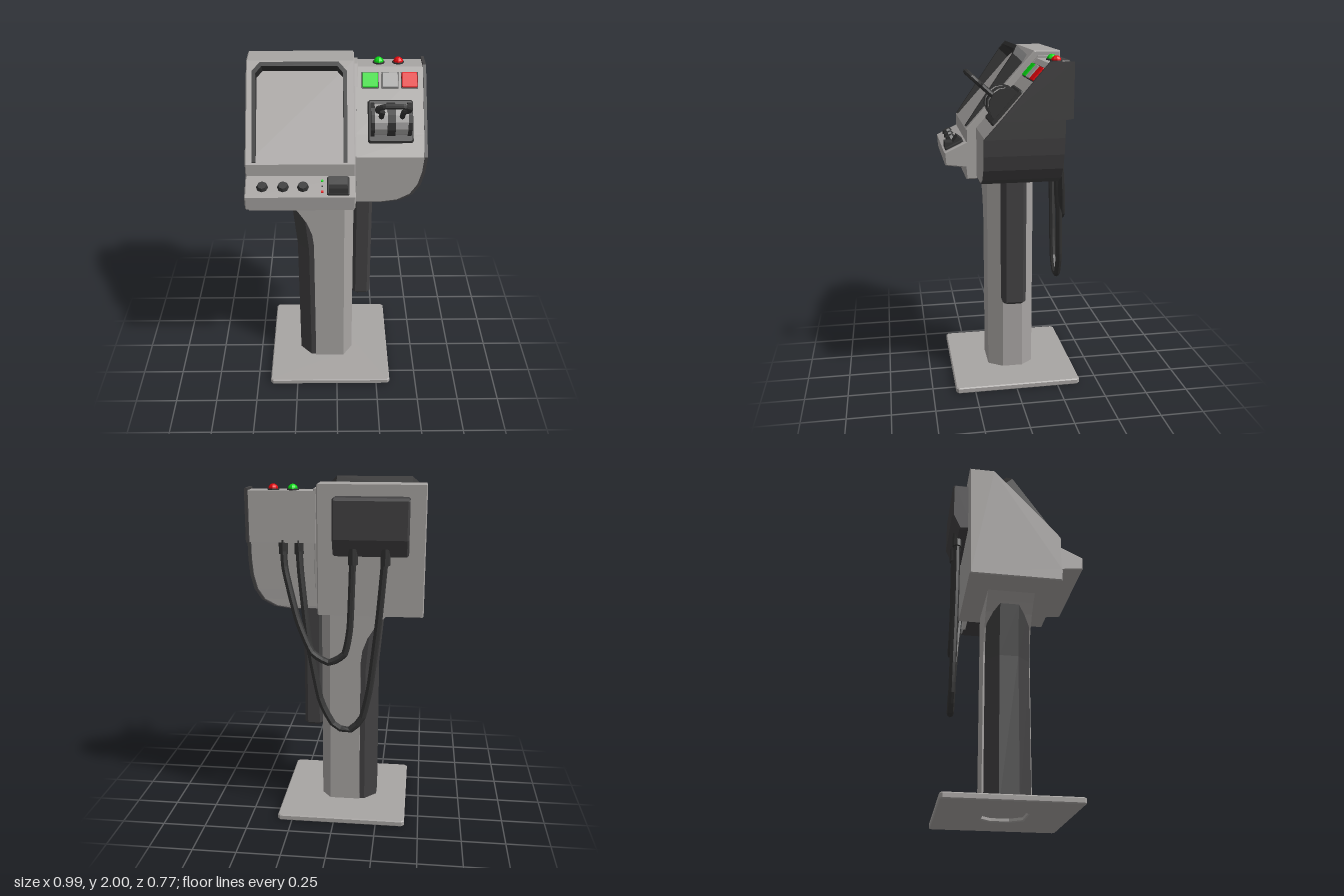
import * as THREE from 'three';

const mat = (name, color) => {
  const m = new THREE.MeshStandardMaterial({ color });
  m.name = name;
  return m;
};

// Extrude a (z, y) profile across x from x0 to x1, with a small bevel
function across(profile, x0, x1, b = 0.006) {
  const s = new THREE.Shape(profile.map(p => new THREE.Vector2(...p)));
  const g = new THREE.ExtrudeGeometry(s, {
    depth: x1 - x0 - 2 * b, bevelEnabled: true, bevelThickness: b, bevelSize: b, bevelOffset: -b, bevelSegments: 1
  });
  return g.rotateY(-Math.PI / 2).translate(x1 - b, 0, 0);
}

// Skin stacked convex rings. ring = { y, pts: [[x, z], ...] }, ordered front-left, front-right, back...
// sideMats gives a material index per ring edge, the ends use index 0.
function loft(rings, sideMats = []) {
  const g = new THREE.BufferGeometry(), pos = [], n = rings[0].pts.length;
  const v = (r, i) => [r.pts[i % n][0], r.y, r.pts[i % n][1]];
  const group = (m, fn) => {
    const start = pos.length / 3;
    fn();
    g.addGroup(start, pos.length / 3 - start, m);
  };
  for (let i = 0; i < n; i++) group(sideMats[i] ?? 0, () => {
    for (let k = 0; k < rings.length - 1; k++) {
      const a = v(rings[k], i), b = v(rings[k], i + 1), c = v(rings[k + 1], i + 1), d = v(rings[k + 1], i);
      pos.push(...a, ...b, ...c, ...a, ...c, ...d);
    }
  });
  group(0, () => {
    const lo = rings[0], hi = rings[rings.length - 1];
    for (let i = 1; i < n - 1; i++) {
      pos.push(...v(lo, 0), ...v(lo, i + 1), ...v(lo, i), ...v(hi, 0), ...v(hi, i), ...v(hi, i + 1));
    }
  });
  g.setAttribute('position', new THREE.Float32BufferAttribute(pos, 3));
  return g;
}

// Faceted tube through a list of points
function tube(points, r, steps, tension = 0.25) {
  const c = new THREE.CatmullRomCurve3(points.map(p => new THREE.Vector3(...p)), false, 'catmullrom', tension);
  return new THREE.TubeGeometry(c, steps, r, 8, false);
}

// Box with chamfered outline and edges, standing on local z = 0
function pad(w, h, d, b = 0.008) {
  const x = w / 2, y = h / 2, c = b * 1.2;
  const s = new THREE.Shape([[-x + c, -y], [x - c, -y], [x, -y + c], [x, y - c], [x - c, y], [-x + c, y], [-x, y - c], [-x, -y + c]]
    .map(p => new THREE.Vector2(...p)));
  return new THREE.ExtrudeGeometry(s, { depth: d - b, bevelThickness: b, bevelSize: b, bevelOffset: -b, bevelSegments: 1 });
}

export function createModel() {
  const model = new THREE.Group();
  model.name = 'controlConsole';
  const grey = mat('casingGrey', 0xa8a5a3), dark = mat('darkPanel', 0x424142), trim = mat('blackTrim', 0x343434);
  const light = mat('wheelGrey', 0xa7a6a5), green = mat('signalGreen', 0x04de12), red = mat('signalRed', 0xe8030a);

  // Every part is faceted
  const add = (parent, name, geo, material, x = 0, y = 0, z = 0) => {
    const g = geo.index ? geo.toNonIndexed() : geo;
    g.computeVertexNormals();
    const m = new THREE.Mesh(g, material);
    m.name = name;
    m.position.set(x, y, z);
    parent.add(m);
    return m;
  };
  // Frame lying on a sloped face: local y runs up the slope, local z points out of it
  const slopeFrame = (name, y, z, angle) => {
    const g = new THREE.Group();
    g.name = name;
    g.position.set(0, y, z);
    g.rotation.x = -angle;
    model.add(g);
    return g;
  };

  // Floor plate with a hollow under the column
  const plate = new THREE.Shape([[-0.405, -0.365], [0.32, -0.365], [0.335, -0.35], [0.335, 0.37], [0.32, 0.385], [-0.405, 0.385], [-0.42, 0.37], [-0.42, -0.35]]
    .map(p => new THREE.Vector2(...p)));
  plate.holes.push(new THREE.Path([[-0.21, -0.045], [-0.14, -0.115], [0.03, -0.115], [0.08, -0.045], [0.08, 0.06], [0.03, 0.12], [-0.14, 0.12], [-0.21, 0.06]]
    .map(p => new THREE.Vector2(...p))));
  add(model, 'basePlate', new THREE.ExtrudeGeometry(plate, {
    depth: 0.023, bevelThickness: 0.006, bevelSize: 0.006, bevelOffset: -0.006, bevelSegments: 1
  }).rotateX(-Math.PI / 2), grey, 0, 0.006, 0);

  // Column: grey shell flaring out at the top, dark faceted insert on its right flank
  const flare = [[0.022, -0.135], [0.92, -0.135], [1.0, -0.145], [1.08, -0.175], [1.16, -0.225], [1.21, -0.275], [1.255, -0.33]];
  add(model, 'column', loft(flare.map(([y, xl]) => ({
    y, pts: [[xl, 0.135], [0.045, 0.135], [0.1, 0.05], [0.1, -0.07], [0.045, -0.14], [xl, -0.14]]
  }))), grey);
  add(model, 'columnInsert', loft([[0.022, 0], [0.88, 0], [1.2, -0.03], [1.255, -0.035]].map(([y, o]) => ({
    y, pts: [[-0.165 + o, 0.125], [-0.12, 0.125], [-0.12, -0.13], [-0.165 + o, -0.13], [-0.235 + o, -0.06], [-0.235 + o, 0.05]]
  }))), dark);

  // Main console with its control ledge
  add(model, 'consoleBody', across([[-0.268, 1.25], [0.26, 1.25], [0.265, 1.32], [0.38, 1.335], [0.385, 1.41],
    [0.26, 1.47], [0.26, 1.54], [-0.13, 1.972], [-0.279, 1.972]], -0.494, 0.1), grey);
  add(model, 'consoleJoint', across([[-0.2, 1.28], [0.19, 1.28], [0.19, 1.55], [-0.15, 1.945], [-0.245, 1.945]], 0.08, 0.12, 0.002), grey);

  // Hood around the display, shallow at the bottom and deep at the top
  const display = slopeFrame('display', 1.54, 0.26, 0.735);
  const hood = new THREE.Shape([[-0.455, 0.01], [-0.434, 0.01], [-0.434, 0.485], [-0.402, 0.522], [0.004, 0.522], [0.036, 0.485], [0.036, 0.01],
    [0.057, 0.01], [0.057, 0.495], [0.012, 0.545], [-0.41, 0.545], [-0.455, 0.495]].map(p => new THREE.Vector2(...p)));
  const hoodGeo = new THREE.ExtrudeGeometry(hood, { depth: 1, bevelEnabled: false });
  const hp = hoodGeo.attributes.position;
  for (let i = 0; i < hp.count; i++) hp.setZ(i, hp.getZ(i) > 0.5 ? 0.008 + 0.132 * hp.getY(i) : -0.005);
  add(display, 'displayHood', hoodGeo, trim);

  // Ledge controls: knobs, indicators and a rocker switch
  const ledge = slopeFrame('ledgeControls', 1.44, 0.322, Math.PI / 2 - 0.45);
  for (const x of [-0.401, -0.289, -0.182]) {
    add(ledge, 'knob', new THREE.CylinderGeometry(0.024, 0.033, 0.022, 8).rotateX(Math.PI / 2), trim, x, -0.003, 0.01);
  }
  add(ledge, 'greenIndicator', new THREE.CylinderGeometry(0.007, 0.007, 0.008, 8).rotateX(Math.PI / 2), green, -0.079, 0.035, 0.002);
  add(ledge, 'indicatorMark', new THREE.BoxGeometry(0.009, 0.009, 0.004), dark, -0.079, 0.002, 0.001);
  add(ledge, 'redIndicator', new THREE.BoxGeometry(0.012, 0.012, 0.008), red, -0.079, -0.034, 0.002);
  add(ledge, 'switchFrame', pad(0.12, 0.115, 0.014, 0.005), trim, 0.007, 0, 0);
  for (const s of [-1, 1]) {
    const r = add(ledge, 'switchRocker', new THREE.BoxGeometry(0.1, 0.046, 0.03), trim, 0.007, s * 0.027, 0.018);
    r.rotation.x = s * 0.5;
  }

  // Side unit: [y, right x, front z, back z], rounded at its lower outer corner
  const rows = [[1.27, 0.255, 0.202, -0.205], [1.283, 0.345, 0.202, -0.206], [1.32, 0.415, 0.202, -0.206], [1.38, 0.455, 0.202, -0.207],
    [1.46, 0.476, 0.202, -0.208], [1.55, 0.484, 0.202, -0.209], [1.645, 0.485, 0.116, -0.21], [1.65, 0.485, 0.111, -0.25], [1.932, 0.485, -0.142, -0.25]];
  add(model, 'sideUnit', loft(rows.map(([y, x, f, b]) => ({ y, pts: [[0.108, f], [x, f], [x, b], [0.108, b]] })), [0, 1, 0, 0]), [grey, dark]);
  add(model, 'sideUnitFloor', new THREE.BoxGeometry(0.146, 0.006, 0.41), dark, 0.182, 1.268, -0.004);
  add(model, 'sideUnitSkin', loft(rows.map(([y, x, f, b], i) => ({
    y: i === rows.length - 1 ? y + 0.012 : y,
    pts: [[x - 0.008, f + 0.005], [x + 0.009, f + 0.005], [x + 0.009, b - 0.015], [x - 0.008, b - 0.015]]
  }))), dark);

  // Lamps on the side unit's top
  for (const [x, m, name] of [[0.237, green, 'greenLamp'], [0.345, red, 'redLamp']]) {
    add(model, name + 'Collar', new THREE.CylinderGeometry(0.033, 0.033, 0.012, 8), trim, x, 1.934, -0.2);
    add(model, name, new THREE.SphereGeometry(0.028, 8, 4, 0, Math.PI * 2, 0, Math.PI / 2), m, x, 1.937, -0.2);
  }

  // Push buttons on the slope
  const slope = slopeFrame('sideControls', 1.548, 0.202, 0.735);
  for (const [x, m, name] of [[0.186, green, 'greenButton'], [0.295, light, 'greyButton'], [0.402, red, 'redButton']]) {
    add(slope, name + 'Frame', pad(0.094, 0.094, 0.006, 0.002), trim, x, 0.436, 0);
    add(slope, name, pad(0.085, 0.085, 0.014, 0.003), m, x, 0.436, 0);
  }

  // Lever quadrant: flat housing, twin wheels and a looped handle
  add(slope, 'leverHousing', pad(0.247, 0.24, 0.02, 0.008), trim, 0.294, 0.2, 0);
  const wheel = (name, x, w, r, m) => add(slope, name, new THREE.CylinderGeometry(r, r, w, 14).rotateZ(Math.PI / 2), m, x, 0.206, 0.015);
  for (const x of [0.238, 0.35]) wheel('leverWheel', x, 0.068, 0.087, light);
  wheel('centreDivider', 0.294, 0.044, 0.094, trim);
  for (const x of [0.194, 0.394]) wheel('wheelCheek', x, 0.02, 0.094, trim);
  const half = [[0.056, 0.08], [0.056, 0.18], [0.082, 0.203], [0.082, 0.243], [0.05, 0.272]];
  const loop = [...half.map(([x, z]) => [0.294 - x, 0.2, z]), ...half.reverse().map(([x, z]) => [0.294 + x, 0.2, z])];
  add(slope, 'leverHandle', tube(loop, 0.015, 60, 0.08), trim);

  // Hanging pod under the side unit
  const pod = (y, i) => ({ y, pts: [[0.118 + i, 0.065 - i], [0.19 - i, 0.065 - i], [0.209 - i, 0.045 - i], [0.209 - i, -0.055 + i],
    [0.19 - i, -0.075 + i], [0.118 + i, -0.075 + i], [0.099 + i, -0.055 + i], [0.099 + i, 0.045 - i]] });
  add(model, 'hangingPod', loft([pod(0.495, 0.012), pod(0.51, 0), pod(1.28, 0)]), dark);

  // Junction box on the back
  add(model, 'junctionBox', across([[-0.24, 1.6], [-0.24, 1.91], [-0.36, 1.91], [-0.37, 1.895], [-0.37, 1.69], [-0.325, 1.595]].reverse(), -0.405, 0.006, 0.01), dark);

  // Cables looping from the side unit to the junction box
  const cables = [
    [[0.292, 1.66, -0.226], [0.282, 1.5, -0.24], [0.21, 1.22, -0.275], [0.13, 1.04, -0.3], [0.03, 0.985, -0.315], [-0.06, 1.04, -0.32], [-0.09, 1.2, -0.32], [-0.105, 1.62, -0.325]],
    [[0.204, 1.66, -0.226], [0.196, 1.5, -0.24], [0.15, 1.1, -0.275], [0.08, 0.75, -0.3], [0.0, 0.6, -0.31], [-0.085, 0.575, -0.315], [-0.16, 0.65, -0.318], [-0.205, 0.85, -0.32], [-0.25, 1.25, -0.32], [-0.28, 1.62, -0.325]]
  ];
  for (const path of cables) {
    add(model, 'cable', tube(path, 0.02, 40), trim);
    const [a, b] = [path[0], path[path.length - 1]];
    add(model, 'unitPlug', new THREE.CylinderGeometry(0.026, 0.026, 0.08, 8), trim, a[0], 1.625, a[2]);
    add(model, 'boxPlug', new THREE.CylinderGeometry(0.027, 0.027, 0.09, 8), trim, b[0], 1.595, b[2]);
  }
  return model;
}
